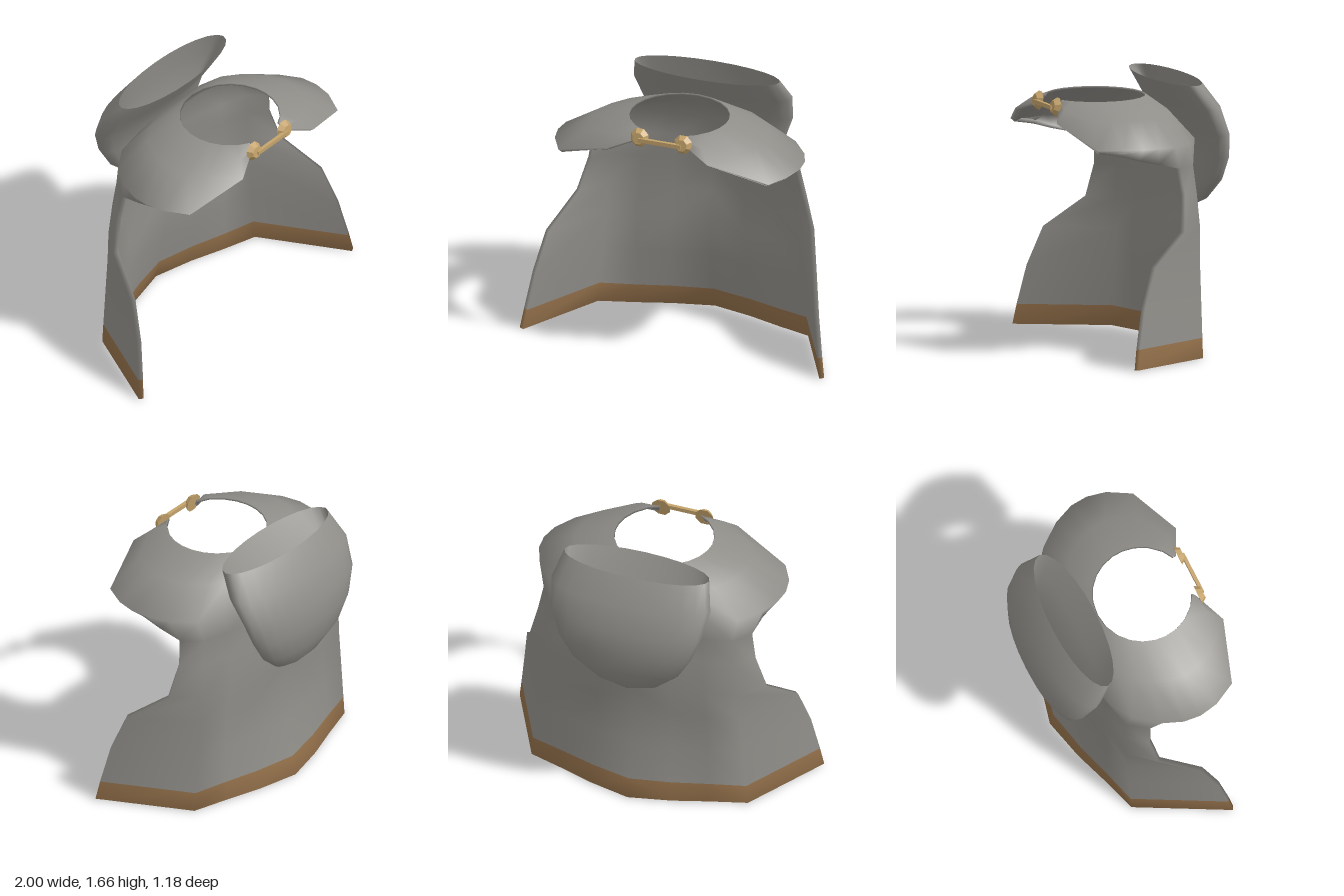
import * as THREE from 'three';

const lerp = THREE.MathUtils.lerp;

function material(name, color, side = THREE.DoubleSide) {
  const m = new THREE.MeshStandardMaterial({ color, side });
  m.name = name;
  return m;
}

// Shoulder outline, back centre to front tip, for x >= 0: [x, y, z]
const SHOULDER = [
  [0, 1.33, -0.31], [0.27, 1.33, -0.3], [0.48, 1.33, -0.26], [0.62, 1.32, -0.17],
  [0.73, 1.32, -0.03], [0.785, 1.33, 0.1], [0.795, 1.33, 0.21], [0.77, 1.33, 0.33],
  [0.69, 1.325, 0.475], [0.33, 1.45, 0.592], [0.15, 1.51, 0.505],
];
// Tucked lower edge of the shoulder cape, from the drape to the front
const TUCK = {
  5: [0.7, 1.215, 0.07], 6: [0.7, 1.245, 0.2], 7: [0.7, 1.28, 0.32],
  8: [0.68, 1.305, 0.455], 9: [0.32, 1.435, 0.572], 10: [0.15, 1.498, 0.496],
};
const NECK_ANGLES = [0, 17, 34, 50, 65, 80, 93, 107, 122, 140, 154];
// Drape rows: [y, back centre z, corner x, corner z, front edge x, front edge z]
const DRAPE = [
  [1.18, -0.34, 0.6, -0.2, 0.685, -0.08],
  [1.02, -0.35, 0.62, -0.215, 0.715, -0.1],
  [0.8, -0.37, 0.64, -0.23, 0.78, -0.07],
  [0.61, -0.335, 0.66, -0.22, 0.89, 0.17],
  [0.37, -0.36, 0.68, -0.22, 0.94, 0.26],
  [0.125, -0.405, 0.7, -0.22, 0.98, 0.31],
  [0, -0.43, 0.71, -0.22, 1, 0.33],
];

function drapePoint(row, k) {
  const [y, zBack, xc, zc, xe, ze] = row;
  if (k === 4) return [xe, y, ze];
  return [xc * [0, 0.37, 0.68, 1][k], y, lerp(zBack, zc, [0, 0.3, 0.66, 1][k])];
}

function neckPoint(k) {
  const a = THREE.MathUtils.degToRad(NECK_ANGLES[k]);
  return [0.31 * Math.sin(a), 1.56, 0.2 - 0.31 * Math.cos(a)];
}

function shoulderMid(k) {
  const n = neckPoint(k), s = SHOULDER[k];
  return [lerp(n[0], s[0], 0.52), lerp(n[1], s[1], 0.38), lerp(n[2], s[2], 0.52)];
}

function tuckPoint(k) {
  return k <= 4 ? drapePoint(DRAPE[0], k) : TUCK[k];
}

function indexedGeometry(pos, index) {
  const g = new THREE.BufferGeometry();
  g.setAttribute('position', new THREE.Float32BufferAttribute(pos, 3));
  g.setIndex(index);
  g.computeVertexNormals();
  return g;
}

// One continuous thick cloth: neck, shoulders, tucked edge, then the hanging drape
function cloakGeometry() {
  const rows = [neckPoint, shoulderMid, (k) => SHOULDER[k], tuckPoint]
    .map((point) => ({ half: 10, point }));
  DRAPE.slice(1).forEach((r) => rows.push({ half: 4, point: (k) => drapePoint(r, k) }));

  const pos = [], starts = [], thickness = [];
  rows.forEach(({ half, point }, r) => {
    starts.push(pos.length / 3 + half);
    for (let c = -half; c <= half; c++) {
      const [x, y, z] = point(Math.abs(c));
      pos.push(c < 0 ? -x : x, y, z);
      thickness.push(r === 0 || Math.abs(c) > 8 ? 0.012 : 0.03);
    }
  });

  // Outer faces, with the hem kept apart
  const main = [], hem = [];
  for (let r = 0; r < rows.length - 1; r++) {
    const list = r === rows.length - 2 ? hem : main;
    const half = rows[r + 1].half;
    for (let c = -half; c < half; c++) {
      const a = starts[r] + c, d = starts[r + 1] + c;
      // mirrored diagonals keep both sides alike
      if (c < 0) list.push(a, a + 1, d, a + 1, d + 1, d);
      else list.push(a, a + 1, d + 1, a, d + 1, d);
    }
  }

  // Inner layer, offset along the normals
  const normals = indexedGeometry(pos, [...main, ...hem]).attributes.normal.array;
  const count = thickness.length;
  for (let i = 0; i < count * 3; i++) {
    pos.push(pos[i] - normals[i] * thickness[Math.floor(i / 3)]);
  }

  // Reversed inner faces, and strips that close the open edges
  const key = (i, j) => i * count + j;
  const edges = new Set();
  for (const list of [main, hem]) {
    for (let t = 0; t < list.length; t += 3) {
      for (let e = 0; e < 3; e++) edges.add(key(list[t + e], list[t + (e + 1) % 3]));
    }
  }
  for (const list of [main, hem]) {
    const outer = list.slice();
    for (let t = 0; t < outer.length; t += 3) {
      list.push(outer[t] + count, outer[t + 2] + count, outer[t + 1] + count);
      for (let e = 0; e < 3; e++) {
        const i = outer[t + e], j = outer[t + (e + 1) % 3];
        if (!edges.has(key(j, i))) list.push(j, i, i + count, j, i + count, j + count);
      }
    }
  }
  const g = indexedGeometry(pos, [...main, ...hem]);
  g.addGroup(0, main.length, 0);
  g.addGroup(main.length, hem.length, 1);
  return g;
}

// Closed loops from rings [y, half width, front z, back z], listed top to bottom
function ringGeometry(rings, segments = 24) {
  const pos = [], index = [];
  for (const [y, w, zf, zb] of rings) {
    for (let i = 0; i < segments; i++) {
      const a = (i / segments) * Math.PI * 2;
      pos.push(w * Math.sin(a), y, (zf + zb) / 2 + ((zf - zb) / 2) * Math.cos(a));
    }
  }
  for (let r = 0; r < rings.length - 1; r++) {
    for (let i = 0; i < segments; i++) {
      const j = (i + 1) % segments;
      const a = r * segments + i, b = r * segments + j;
      index.push(a, a + segments, b, b, a + segments, b + segments);
    }
  }
  return indexedGeometry(pos, index);
}

export function createModel() {
  const group = new THREE.Group();
  const cloth = material('grey cloth', 0x908e89);
  const trim = material('brown trim', 0x94714b);
  const gold = material('pale gold', 0xc4a36b, THREE.FrontSide);

  const add = (parent, name, geometry, mat) => {
    const mesh = new THREE.Mesh(geometry, mat);
    mesh.name = name;
    parent.add(mesh);
    return mesh;
  };

  add(group, 'cloak', cloakGeometry(), [cloth, trim]);

  // Lowered hood hanging on the back
  const hood = new THREE.Group();
  hood.name = 'hood';
  group.add(hood);
  add(hood, 'hoodPouch', ringGeometry([
    [1.65, 0.475, -0.125, -0.41],
    [1.5, 0.522, -0.22, -0.52],
    [1.33, 0.492, -0.325, -0.578],
    [1.18, 0.435, -0.352, -0.592],
    [1.03, 0.345, -0.37, -0.567],
    [0.9, 0.2, -0.387, -0.5],
    [0.83, 0.01, -0.425, -0.435],
  ]), cloth);
  // Deep lining that narrows to a fold
  add(hood, 'hoodLining', ringGeometry([
    [1.65, 0.475, -0.125, -0.41],
    [1.5, 0.46, -0.24, -0.425],
    [1.36, 0.41, -0.33, -0.43],
    [1.22, 0.33, -0.385, -0.415],
    [1.2, 0.3, -0.4, -0.4],
  ]), cloth);

  // Neck clasp: two faceted studs joined by a bar
  const clasp = new THREE.Group();
  clasp.name = 'clasp';
  group.add(clasp);
  for (const side of [-1, 1]) {
    const geo = new THREE.CylinderGeometry(0.038, 0.062, 0.034, 8).toNonIndexed();
    geo.rotateY(Math.PI / 8);
    geo.rotateX(Math.PI / 2 - 0.15);
    geo.computeVertexNormals();
    const stud = add(clasp, side > 0 ? 'leftStud' : 'rightStud', geo, gold);
    stud.position.set(side * 0.142, 1.522, 0.528);
  }
  const bar = add(clasp, 'claspBar', new THREE.BoxGeometry(0.28, 0.026, 0.022), gold);
  bar.position.set(0, 1.517, 0.543);

  return group;
}
